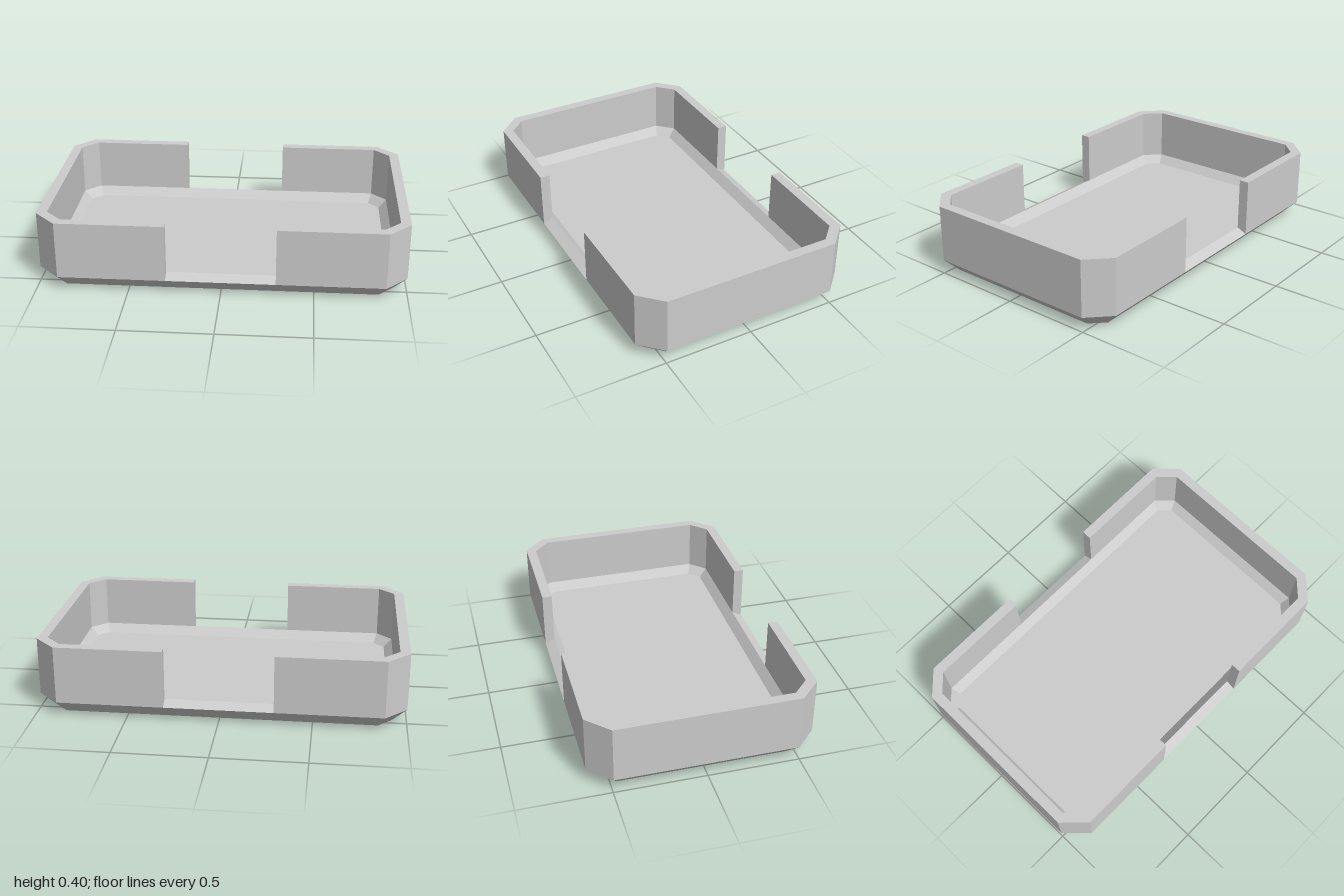
import * as THREE from 'three';

const NOTCH = 0.296, WALL = 0.055;
const material = new THREE.MeshStandardMaterial({ color: 0xcccccc, flatShading: true });

// Left half of the chamfered outline, inset by d, at height y (front notch to back notch)
function halfOutline(d, y) {
  const x = 1 - d, z = 0.615 - d, k = d * Math.tan(Math.PI / 8);
  const cx = 0.88 - k, cz = 0.495 - k;
  return [[NOTCH, z], [cx, z], [x, cz], [x, -cz], [cx, -z], [NOTCH, -z]]
    .map(([px, pz]) => new THREE.Vector3(px, y, pz));
}

// Whole eight-cornered outline
function outline(d, y) {
  const half = halfOutline(d, y).slice(1, 5);
  return [...half, ...half.map((p) => new THREE.Vector3(-p.x, p.y, -p.z))];
}

// Triangle fan over a convex polygon
function fan(points) {
  const out = [];
  for (let i = 1; i < points.length - 1; i++) out.push(points[0], points[i], points[i + 1]);
  return out;
}

// Quads between successive cross-sections
function loft(rows, closed) {
  const out = [], n = rows[0].length;
  for (let r = 0; r < rows.length - 1; r++) {
    for (let i = 0; i < (closed ? n : n - 1); i++) {
      const j = (i + 1) % n;
      out.push(...fan([rows[r][i], rows[r][j], rows[r + 1][j], rows[r + 1][i]]));
    }
  }
  return out;
}

function mesh(name, triangles) {
  const geometry = new THREE.BufferGeometry().setFromPoints(triangles);
  geometry.computeVertexNormals();
  const m = new THREE.Mesh(geometry, material);
  m.name = name;
  return m;
}

export function createModel() {
  const group = new THREE.Group();
  group.name = 'openTray';

  // Bevelled underside
  const foot = outline(0.078, 0), belly = outline(0, 0.08);
  group.add(mesh('underside', [...fan([...foot].reverse()), ...loft([foot, belly], true)]));

  // Inner floor with its sloped border
  const lip = outline(WALL, 0.107), floor = outline(0.1, 0.06);
  group.add(mesh('innerFloor', [...loft([lip, floor], true), ...fan(floor)]));

  // C-shaped end wall, closed at both notch faces
  const rows = [[0, 0.08], [0, 0.4], [WALL, 0.4], [WALL, 0.107]].map(([d, y]) => halfOutline(d, y));
  const wall = [
    ...loft(rows, false),
    ...fan(rows.map((r) => r[0])),
    ...fan(rows.map((r) => r[5]).reverse()),
  ];

  // Sloped sill across the notch
  const sillRow = (d, y) => [-NOTCH, NOTCH].map((x) => new THREE.Vector3(x, y, 0.615 - d));
  const sill = loft([sillRow(0, 0.08), sillRow(WALL, 0.107)], false);

  // Each wall and sill repeats half a turn around
  [['leftWall', 'frontSill'], ['rightWall', 'backSill']].forEach(([wallName, sillName], i) => {
    const parts = [mesh(wallName, wall), mesh(sillName, sill)];
    for (const part of parts) {
      part.rotation.y = i * Math.PI;
      group.add(part);
    }
  });

  return group;
}
